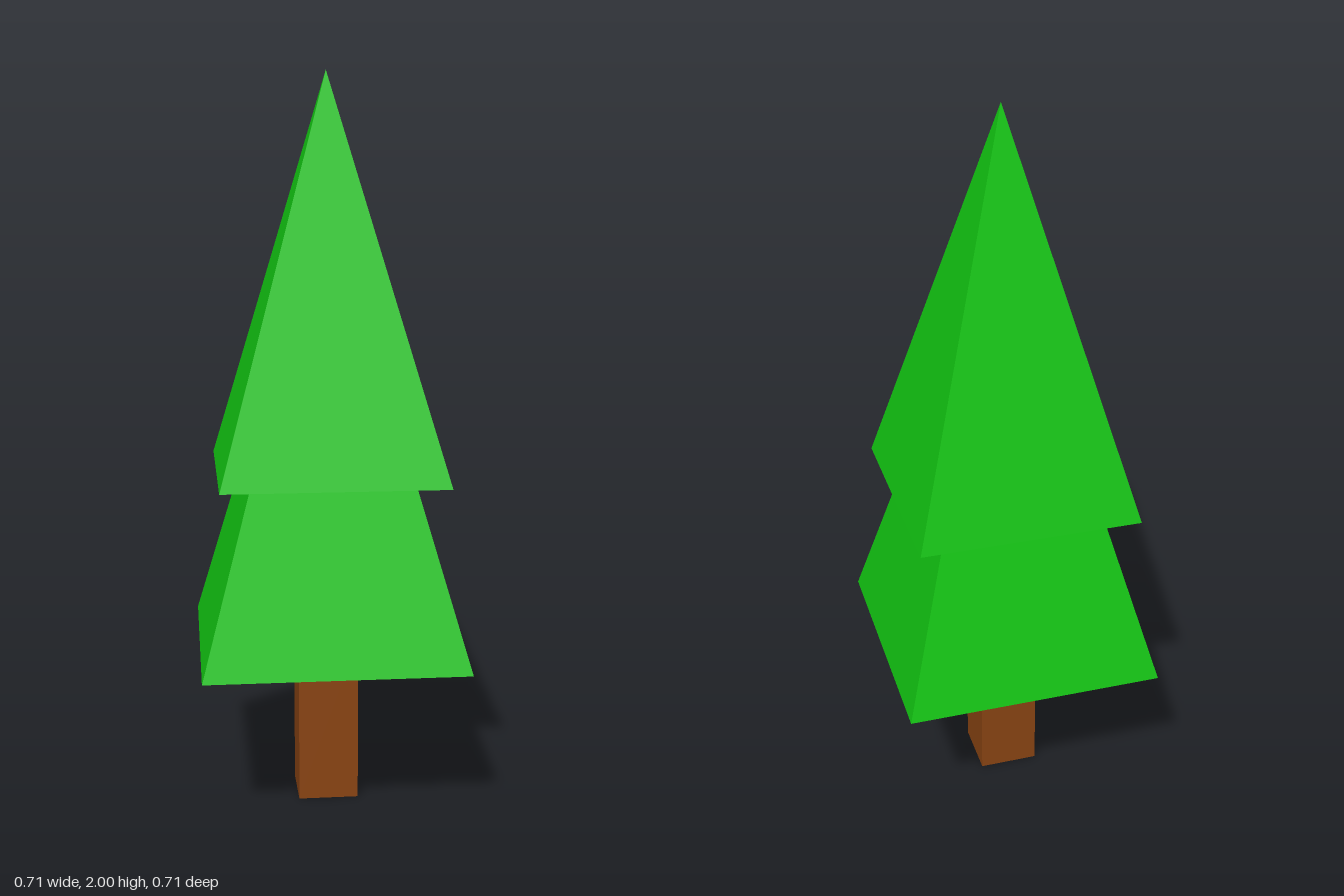
import * as THREE from 'three';

export function createModel() {
  const tree = new THREE.Group();
  tree.name = 'pineTree';

  const bark = new THREE.MeshStandardMaterial({ name: 'barkBrown', color: 0x8b4513 });
  const needles = new THREE.MeshStandardMaterial({ name: 'needleGreen', color: 0x12c412 });

  // Square trunk, reaching slightly into the foliage
  const trunkHeight = 0.46;
  const trunk = new THREE.Mesh(new THREE.BoxGeometry(0.165, trunkHeight, 0.165), bark);
  trunk.name = 'trunk';
  trunk.position.y = trunkHeight / 2;
  tree.add(trunk);

  // Four-sided foliage pyramid, sides aligned with the axes
  function addTier(name, halfWidth, base, apex) {
    const cone = new THREE.ConeGeometry(halfWidth * Math.SQRT2, apex - base, 4);
    cone.rotateY(Math.PI / 4);
    cone.translate(0, (base + apex) / 2, 0);
    // Unshared vertices give each side a flat normal
    const geometry = cone.toNonIndexed();
    geometry.computeVertexNormals();
    const tier = new THREE.Mesh(geometry, needles);
    tier.name = name;
    tree.add(tier);
  }

  addTier('lowerFoliage', 0.354, 0.44, 1.71);
  addTier('upperFoliage', 0.302, 0.928, 2);

  return tree;
}
